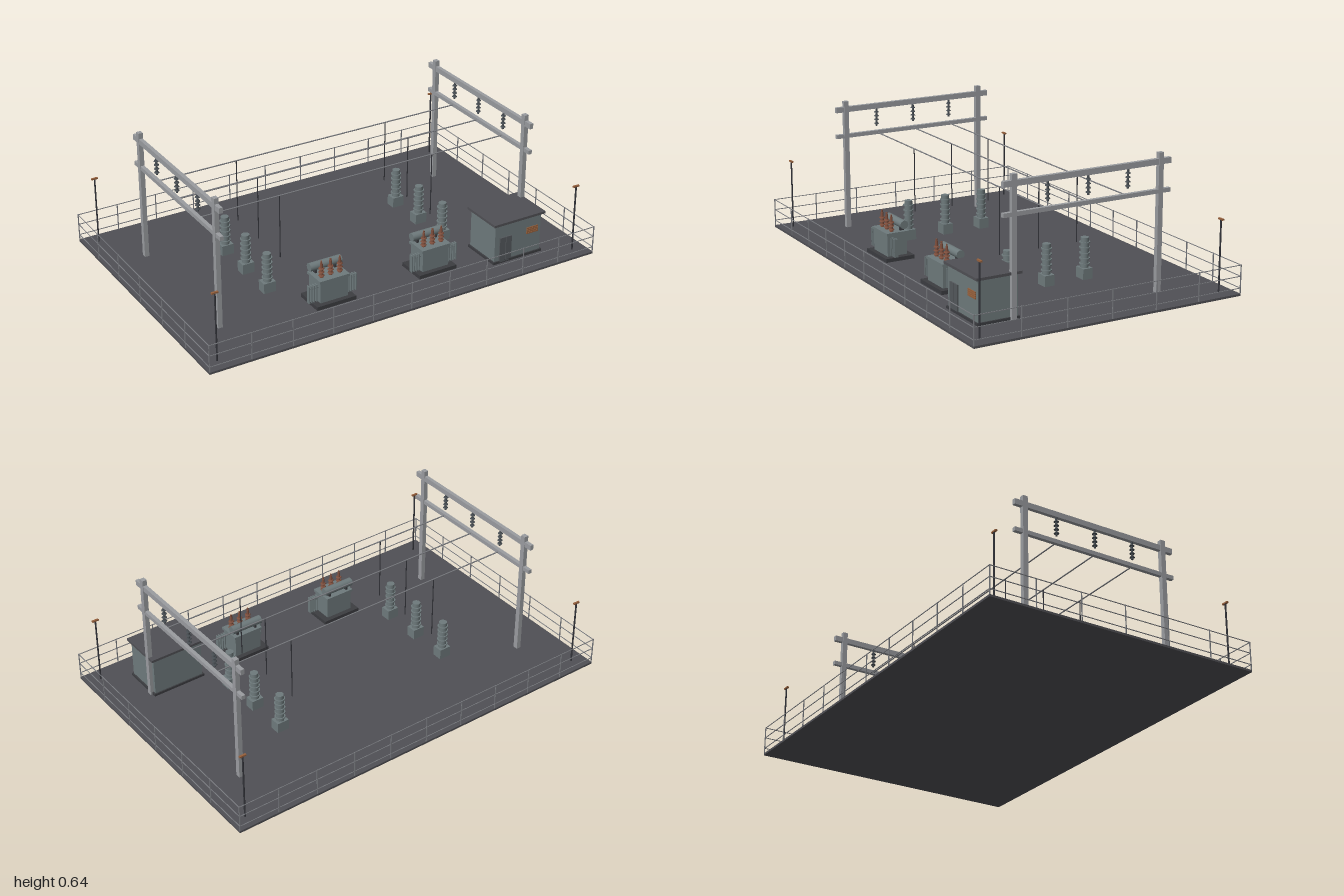
import * as THREE from 'three';

const mat = (name, color) => Object.assign(new THREE.MeshStandardMaterial({ color }), { name });
const M = {
  ground: mat('dark ground', 0x505055),
  dark: mat('dark trim', 0x3c3d41),
  steel: mat('galvanised steel', 0x9a9ca0),
  rail: mat('fence grey', 0x7c7e83),
  tank: mat('grey green paint', 0x6e7a7c),
  wire: mat('cable black', 0x34353b),
  slate: mat('insulator slate', 0x484e53),
  door: mat('door grey', 0x54585c),
  porcelain: mat('brown porcelain', 0x80503e),
  amber: mat('amber', 0x96603c),
};

function add(parent, name, geometry, material, x, y, z) {
  const mesh = new THREE.Mesh(geometry, material);
  mesh.name = name;
  mesh.position.set(x, y, z);
  parent.add(mesh);
  return mesh;
}
// box given by its size and the centre of its underside
const box = (p, name, m, w, h, d, x, y, z) =>
  add(p, name, new THREE.BoxGeometry(w, h, d), m, x, y + h / 2, z);
const rod = (p, name, m, r, h, x, y, z, sides = 12, rTop = r) =>
  add(p, name, new THREE.CylinderGeometry(rTop, r, h, sides), m, x, y + h / 2, z);
function group(parent, name, x = 0, y = 0, z = 0) {
  const g = new THREE.Group();
  g.name = name;
  g.position.set(x, y, z);
  parent.add(g);
  return g;
}

const LINES = [-0.2, 0, 0.2];
const TOP = 0.01;

function buildGantry(root, x) {
  const g = group(root, 'gantry', x);
  for (const z of [-0.365, 0.365]) box(g, 'gantryPost', M.steel, 0.022, 0.63, 0.024, 0, TOP, z);
  box(g, 'upperBeam', M.steel, 0.018, 0.026, 0.834, 0, 0.587, 0);
  box(g, 'lowerBeam', M.steel, 0.018, 0.019, 0.834, 0, 0.459, 0);
  // hanging insulator strings
  for (const z of LINES) {
    const s = group(g, 'insulatorString', 0, 0.5, z);
    rod(s, 'insulatorCore', M.slate, 0.005, 0.09, 0, 0, 0);
    for (let i = 0; i < 4; i++) rod(s, 'insulatorDisc', M.slate, 0.012, 0.005, 0, 0.01 + i * 0.019, 0, 12, 0.009);
  }
}

function buildBreaker(root, x, z) {
  const g = group(root, 'breaker', x, TOP, z);
  box(g, 'breakerBase', M.tank, 0.06, 0.05, 0.05, 0, 0, 0);
  rod(g, 'breakerColumn', M.tank, 0.019, 0.14, 0, 0.05, 0, 16);
  for (let i = 0; i < 5; i++) rod(g, 'breakerRib', M.tank, 0.025, 0.005, 0, 0.065 + i * 0.025, 0, 16);
}

function buildTransformer(root, x) {
  const g = group(root, 'transformer', x, TOP, 0.398);
  box(g, 'transformerPad', M.dark, 0.2, 0.018, 0.146, 0, 0, 0);
  box(g, 'tank', M.tank, 0.14, 0.1, 0.1, 0, 0.018, 0);
  box(g, 'tankLid', M.tank, 0.152, 0.012, 0.112, 0, 0.118, 0);
  // cooling fins on both ends
  for (const s of [-1, 1]) {
    for (let i = 0; i < 4; i++) box(g, 'coolingFin', M.tank, 0.005, 0.085, 0.02, s * (0.082 + i * 0.0125), 0.025, 0.03);
    box(g, 'finHeader', M.tank, 0.05, 0.004, 0.006, s * 0.094, 0.09, 0.03);
    box(g, 'conservatorBracket', M.dark, 0.01, 0.03, 0.02, s * 0.05, 0.128, -0.033);
  }
  // oil conservator
  const c = rod(g, 'conservator', M.tank, 0.02, 0.16, 0, 0, -0.033, 16);
  c.rotation.z = Math.PI / 2;
  c.position.y = 0.162;
  // bushings
  for (const bx of [-0.047, 0, 0.047]) {
    rod(g, 'bushing', M.porcelain, 0.009, 0.07, bx, 0.13, 0.018, 12, 0.006);
    for (let i = 0; i < 3; i++) rod(g, 'bushingShed', M.porcelain, 0.014, 0.005, bx, 0.138 + i * 0.017, 0.018, 12, 0.011);
    rod(g, 'bushingTerminal', M.porcelain, 0.004, 0.01, bx, 0.2, 0.018);
  }
}

function buildControlHouse(root) {
  const g = group(root, 'controlHouse', 0.664, TOP, 0.434);
  box(g, 'plinth', M.dark, 0.27, 0.012, 0.205, 0, 0, 0);
  box(g, 'walls', M.tank, 0.255, 0.2, 0.192, 0, 0, 0);
  box(g, 'roof', M.ground, 0.284, 0.012, 0.22, 0, 0.198, 0);
  for (const x of [-0.087, -0.053]) box(g, 'door', M.door, 0.031, 0.125, 0.009, x, 0.005, 0.098);
  for (let i = 0; i < 4; i++) box(g, 'ventSlat', M.amber, 0.064, 0.007, 0.006, 0.08, 0.11 + i * 0.0085, 0.097);
}

function buildFence(root) {
  const g = group(root, 'fence');
  const X = 0.998, Z = 0.665;
  for (const s of [-1, 1]) {
    for (let i = 0; i <= 10; i++) box(g, 'fencePost', M.rail, 0.004, 0.133, 0.004, -X + i * X / 5, TOP, s * Z);
    for (let i = 1; i < 6; i++) box(g, 'fencePost', M.rail, 0.004, 0.133, 0.004, s * X, TOP, -Z + i * Z / 3);
    for (const y of [0.034, 0.088, 0.139]) {
      box(g, 'fenceRail', M.rail, 2 * X, 0.003, 0.003, 0, y, s * Z);
      box(g, 'fenceRail', M.rail, 0.003, 0.003, 2 * Z, s * X, y, 0);
    }
  }
}

export function createModel() {
  const root = new THREE.Group();
  root.name = 'substation';
  box(root, 'groundSlab', M.ground, 2, TOP, 1.333, 0, 0, 0);
  buildFence(root);
  for (const s of [-1, 1]) {
    buildGantry(root, s * 0.797);
    buildTransformer(root, s * 0.268);
    for (const z of LINES) {
      buildBreaker(root, s * 0.468, z);
      rod(root, 'dropWire', M.wire, 0.0025, 0.31, s * 0.4, 0.16, z, 8);
    }
    // corner lamps
    for (const z of [-0.6, 0.6]) {
      rod(root, 'lampPole', M.wire, 0.004, 0.328, s * 0.93, TOP, z, 8);
      box(root, 'lampHead', M.amber, 0.032, 0.007, 0.01, s * 0.93, 0.337, z);
    }
  }
  // overhead conductors
  for (const z of LINES) {
    const w = rod(root, 'conductor', M.rail, 0.003, 1.59, 0, 0, z, 8);
    w.rotation.z = Math.PI / 2;
    w.position.y = 0.468;
  }
  buildControlHouse(root);
  return root;
}
